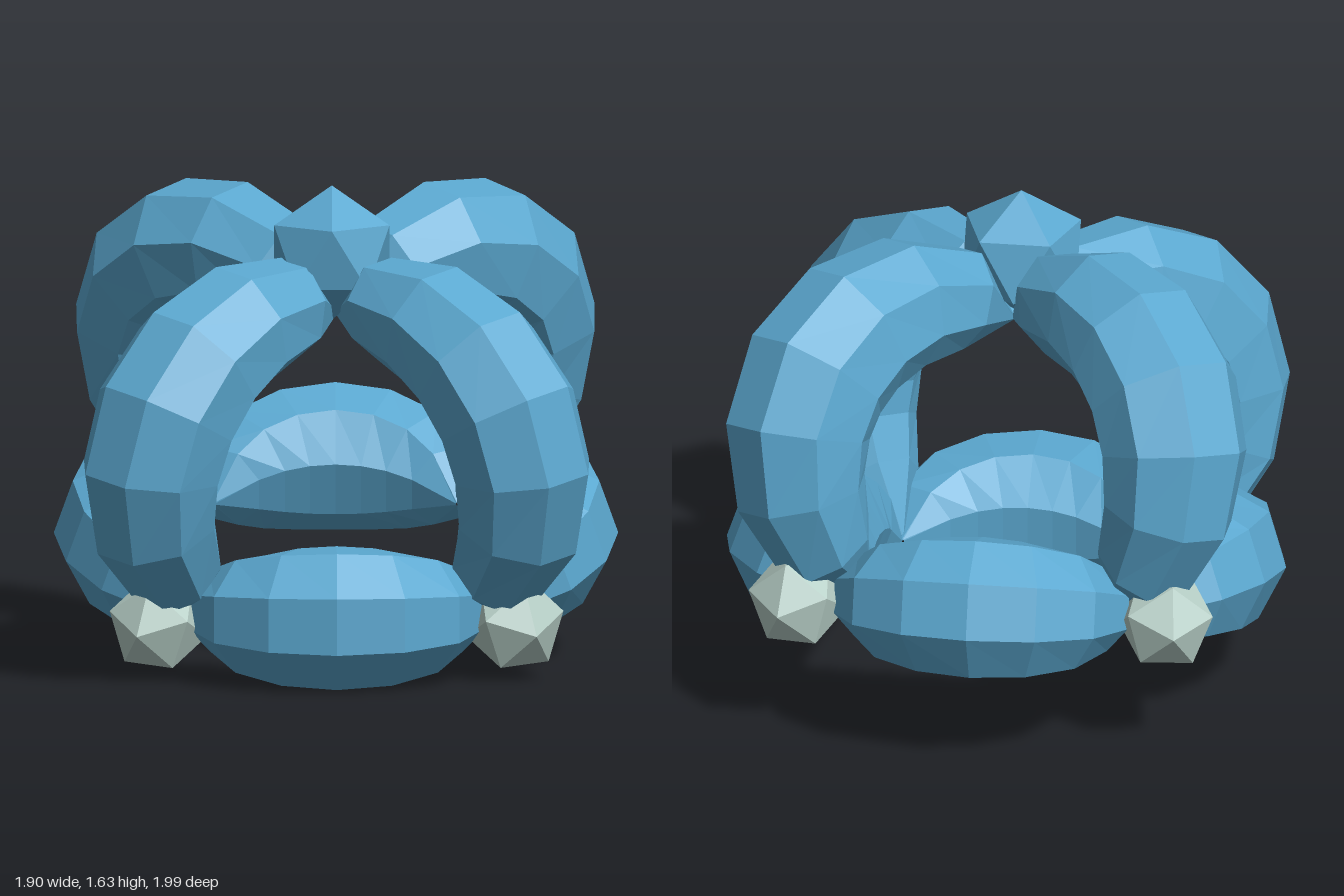
import * as THREE from 'three';

const blue = new THREE.MeshStandardMaterial({ color: 0x5ba8d0 });
blue.name = 'blue';
const paleGreen = new THREE.MeshStandardMaterial({ color: 0xb8d0c8 });
paleGreen.name = 'paleGreen';
blue.flatShading = paleGreen.flatShading = true;

const V = (x, y, z) => new THREE.Vector3(x, y, z);

// Faceted tube on a half ellipse from a to b, bulging to the apex and pinched at both ends;
// a smaller taper keeps the tube fuller towards its ends
function pinchedTube(name, a, b, apex, radius, taper, segments = 8, sides = 8) {
  const mid = a.clone().add(b).multiplyScalar(0.5);
  const half = b.clone().sub(a).multiplyScalar(0.5);
  const bulge = apex.clone().sub(mid);
  const side = half.clone().cross(bulge).normalize();
  const positions = [], index = [];
  for (let i = 0; i <= segments; i++) {
    const t = (i / segments) * Math.PI;
    const s = Math.sin(t), c = Math.cos(t);
    const centre = mid.clone().addScaledVector(half, -c).addScaledVector(bulge, s);
    const tangent = half.clone().multiplyScalar(s).addScaledVector(bulge, c).normalize();
    const normal = side.clone().cross(tangent).normalize();
    const binormal = tangent.clone().cross(normal);
    const r = i === 0 || i === segments ? 0.006 : radius * Math.pow(s, taper);
    for (let j = 0; j < sides; j++) {
      const q = ((j + 0.5) / sides) * Math.PI * 2;
      const p = centre.clone()
        .addScaledVector(normal, r * Math.cos(q))
        .addScaledVector(binormal, r * Math.sin(q));
      positions.push(p.x, p.y, p.z);
      if (i < segments) {
        const k = (j + 1) % sides, u = i * sides, w = u + sides;
        index.push(u + j, u + k, w + k, u + j, w + k, w + j);
      }
    }
  }
  const indexed = new THREE.BufferGeometry();
  indexed.setAttribute('position', new THREE.Float32BufferAttribute(positions, 3));
  indexed.setIndex(index);
  const geo = indexed.toNonIndexed();
  geo.computeVertexNormals();
  const mesh = new THREE.Mesh(geo, blue);
  mesh.name = name;
  return mesh;
}

function gem(name, radius, position, material, rotation) {
  const mesh = new THREE.Mesh(new THREE.IcosahedronGeometry(radius, 0), material);
  mesh.name = name;
  mesh.position.copy(position);
  mesh.rotation.set(...rotation);
  return mesh;
}

export function createModel() {
  const model = new THREE.Group();
  model.name = 'crown';
  const crown = new THREE.Group();
  crown.name = 'tiltedCrown';
  crown.rotation.x = THREE.MathUtils.degToRad(13.5);
  model.add(crown);

  // Base lobes between neighbouring corners
  const cx = 0.41, cz = 0.44;
  crown.add(pinchedTube('frontLobe', V(-cx, 0, cz), V(cx, 0, cz), V(0, 0.085, 0.775), 0.25, 0.55));
  crown.add(pinchedTube('backLobe', V(-cx, 0, -cz), V(cx, 0, -cz), V(0, 0.04, -0.77), 0.25, 0.55));
  for (const s of [1, -1]) {
    crown.add(pinchedTube(s > 0 ? 'leftLobe' : 'rightLobe',
      V(s * cx, 0, -cz), V(s * cx, 0, cz), V(s * 0.69, 0.095, 0), 0.26, 0.55));
  }

  // Arches rising from each corner to the top, and the corner studs
  for (const s of [1, -1]) {
    const hand = s > 0 ? 'Left' : 'Right';
    crown.add(pinchedTube('front' + hand + 'Arch',
      V(s * cx, 0.02, cz), V(0, 0.88, 0), V(s * 0.575, 0.75, 0.595), 0.25, 0.4));
    crown.add(pinchedTube('back' + hand + 'Arch',
      V(s * cx, 0.02, -cz), V(0, 0.88, 0), V(s * 0.59, 0.77, -0.58), 0.26, 0.4));
    crown.add(gem('front' + hand + 'Stud', 0.17, V(s * 0.6, 0, 0.617), paleGreen, [0.5, 0.7 * s, 0.3 * s]));
    crown.add(gem('back' + hand + 'Stud', 0.17, V(s * 0.625, 0, -0.605), paleGreen, [-0.5, 0.7 * s, 0.3 * s]));
  }

  // Top jewel, one point straight up
  crown.add(gem('topJewel', 0.228, V(-0.015, 1.105, 0.02), blue, [-1.2526, 0, 0]));

  // Stand on the ground, centred front to back
  const box = new THREE.Box3().setFromObject(model, true);
  crown.position.set(0, -box.min.y, -(box.min.z + box.max.z) / 2);
  return model;
}
